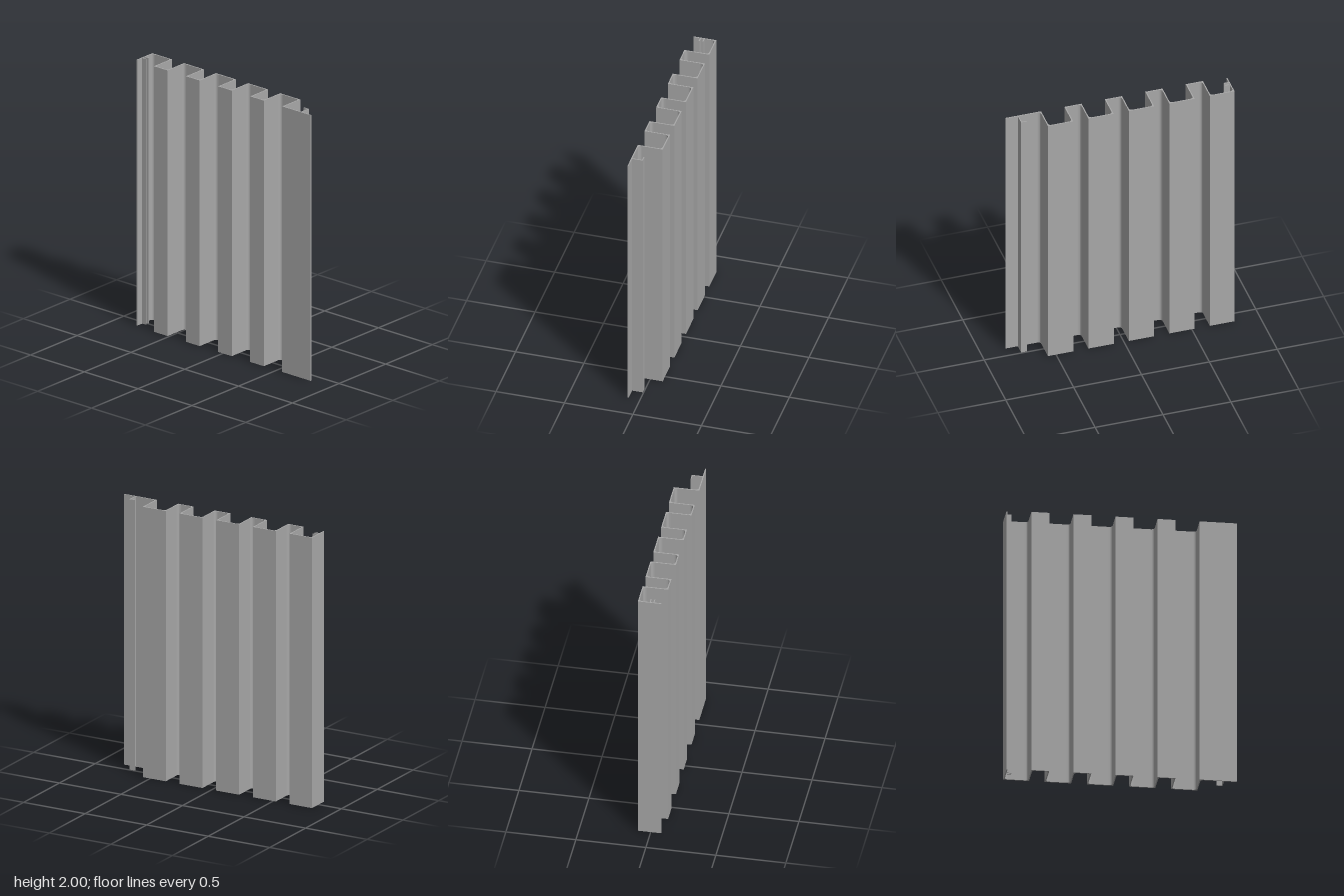
import * as THREE from 'three';

const W = 0.815;      // half width
const D = 0.092;      // half depth
const T = 0.008;      // sheet thickness
const H = 2;          // height
const R = 0.025;      // fillet inside each bend
const PITCH = 0.298;

// Closed outline from [x, z, rounded] corners, drawn as x and -z
function outline(corners) {
  const pts = corners.map(([x, z]) => new THREE.Vector2(x, -z));
  const n = pts.length;
  const shape = new THREE.Shape();
  shape.moveTo(pts[0].x, pts[0].y);
  for (let i = 1; i < n; i++) {
    const p = pts[i];
    if (!corners[i][2]) { shape.lineTo(p.x, p.y); continue; }
    const toward = (q) => q.clone().sub(p).setLength(R).add(p);
    const a = toward(pts[i - 1]);
    const b = toward(pts[(i + 1) % n]);
    shape.lineTo(a.x, a.y);
    shape.quadraticCurveTo(p.x, p.y, b.x, b.y);
  }
  shape.closePath();
  return shape;
}

export function createModel() {
  const group = new THREE.Group();
  const steel = new THREE.MeshStandardMaterial({ color: 0xa8a8a8 });
  steel.name = 'grey steel';

  function addProfile(name, corners) {
    const geo = new THREE.ExtrudeGeometry(outline(corners), { depth: H, bevelEnabled: false, curveSegments: 5 });
    geo.rotateX(-Math.PI / 2);
    const mesh = new THREE.Mesh(geo, steel);
    mesh.name = name;
    group.add(mesh);
  }

  // Corrugated sheet: back surface left to right, front surface returning
  const back = [[-W, 0.075], [-W, -D]];
  const front = [[-W + T, 0.075], [-W + T, -D + T, true]];
  const h = T / 2;
  for (let i = 0; i < 5; i++) {
    const fall = -0.636 + i * PITCH;
    const rise = fall + 0.119;
    back.push([fall + h, -D], [fall + h, D - T, true]);
    front.push([fall - h, -D + T, true], [fall - h, D]);
    if (i < 4) {
      back.push([rise - h, D - T, true], [rise - h, -D]);
      front.push([rise + h, D], [rise + h, -D + T, true]);
    }
  }
  back.push([W, D - T]);
  front.push([W, D]);
  addProfile('corrugatedSheet', [...back, ...front.reverse()]);

  // Pair of lips inside the left edge, forming a locking slot
  for (const z of [-0.005, 0.022]) {
    addProfile('lockingLip', [
      [-W + h, z - 0.0035], [-0.772, z - 0.0035], [-0.772, z + 0.0035], [-W + h, z + 0.0035],
    ]);
  }

  // L-shaped hook behind the right flange
  addProfile('lockingHook', [
    [0.682, 0.006], [0.726, 0.006], [0.726, D - h], [0.719, D - h], [0.719, 0.013], [0.682, 0.013],
  ]);

  return group;
}
